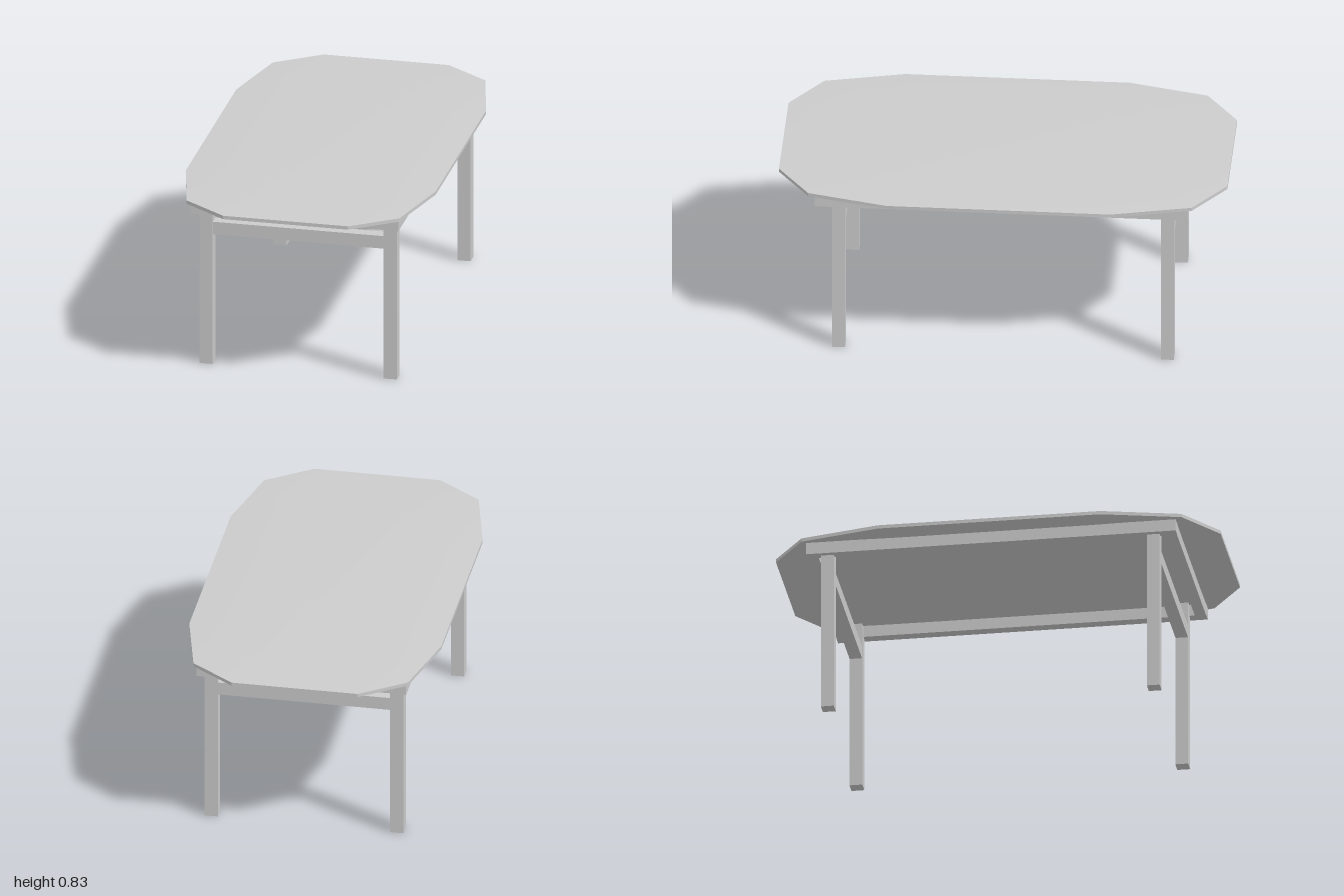
import * as THREE from 'three';
import { toCreasedNormals } from 'three/addons/utils/BufferGeometryUtils.js';

// Shallow lens-shaped slab: one twelve-sided outline repeated in scaled rings
function tabletopGeometry() {
  const quarter = [[0.57, 0.5], [0.485, 0.855], [0.285, 1]];
  const outline = [
    ...quarter,
    ...quarter.map(([x, z]) => [-x, z]).reverse(),
    ...quarter.map(([x, z]) => [-x, -z]),
    ...quarter.map(([x, z]) => [x, -z]).reverse(),
  ];
  // [scale, height] from the top centre round the rim to the bottom centre
  const rings = [
    [0, 0.826], [0.5, 0.825], [0.84, 0.82], [1, 0.814],
    [1, 0.798], [0.84, 0.793], [0.5, 0.79], [0, 0.79],
  ];
  const n = outline.length;
  const positions = [];
  const index = [];
  for (const [s, y] of rings) {
    for (const [x, z] of outline) positions.push(x * s, y, z * s);
  }
  for (let i = 0; i < rings.length - 1; i++) {
    for (let j = 0; j < n; j++) {
      const k = (j + 1) % n;
      const a = i * n + j, b = i * n + k;
      const c = a + n, d = b + n;
      if (rings[i + 1][0] > 0) index.push(a, d, c);
      if (rings[i][0] > 0) index.push(a, b, d);
    }
  }
  const geometry = new THREE.BufferGeometry();
  geometry.setAttribute('position', new THREE.Float32BufferAttribute(positions, 3));
  geometry.setIndex(index);
  return toCreasedNormals(geometry, 0.3);
}

export function createModel() {
  const group = new THREE.Group();
  const grey = new THREE.MeshStandardMaterial({ color: 0xcccccc });
  grey.name = 'light grey';

  const add = (name, geometry, x = 0, y = 0, z = 0) => {
    const mesh = new THREE.Mesh(geometry, grey);
    mesh.name = name;
    mesh.position.set(x, y, z);
    group.add(mesh);
  };
  const box = (name, w, h, d, x, y, z) => add(name, new THREE.BoxGeometry(w, h, d), x, y, z);

  add('tabletop', tabletopGeometry());

  // Frame under the top, set slightly towards the back
  const frameZ = -0.005;
  const legZ = -0.011;
  for (const side of [1, -1]) {
    box(side > 0 ? 'leftApron' : 'rightApron', 0.05, 0.055, 1.663, side * 0.449, 0.7675, frameZ);
    box(side > 0 ? 'frontApron' : 'backApron', 0.936, 0.055, 0.05, 0, 0.7675, frameZ + side * 0.8055);
    // Rail joining the two legs at each end
    box(side > 0 ? 'frontStretcher' : 'backStretcher', 0.79, 0.06, 0.056, 0, 0.65, legZ + side * 0.733);
  }

  // Four square legs
  for (const sx of [1, -1]) {
    for (const sz of [1, -1]) {
      box(sz > 0 ? 'frontLeg' : 'backLeg', 0.06, 0.79, 0.058, sx * 0.42, 0.395, legZ + sz * 0.733);
    }
  }
  return group;
}
